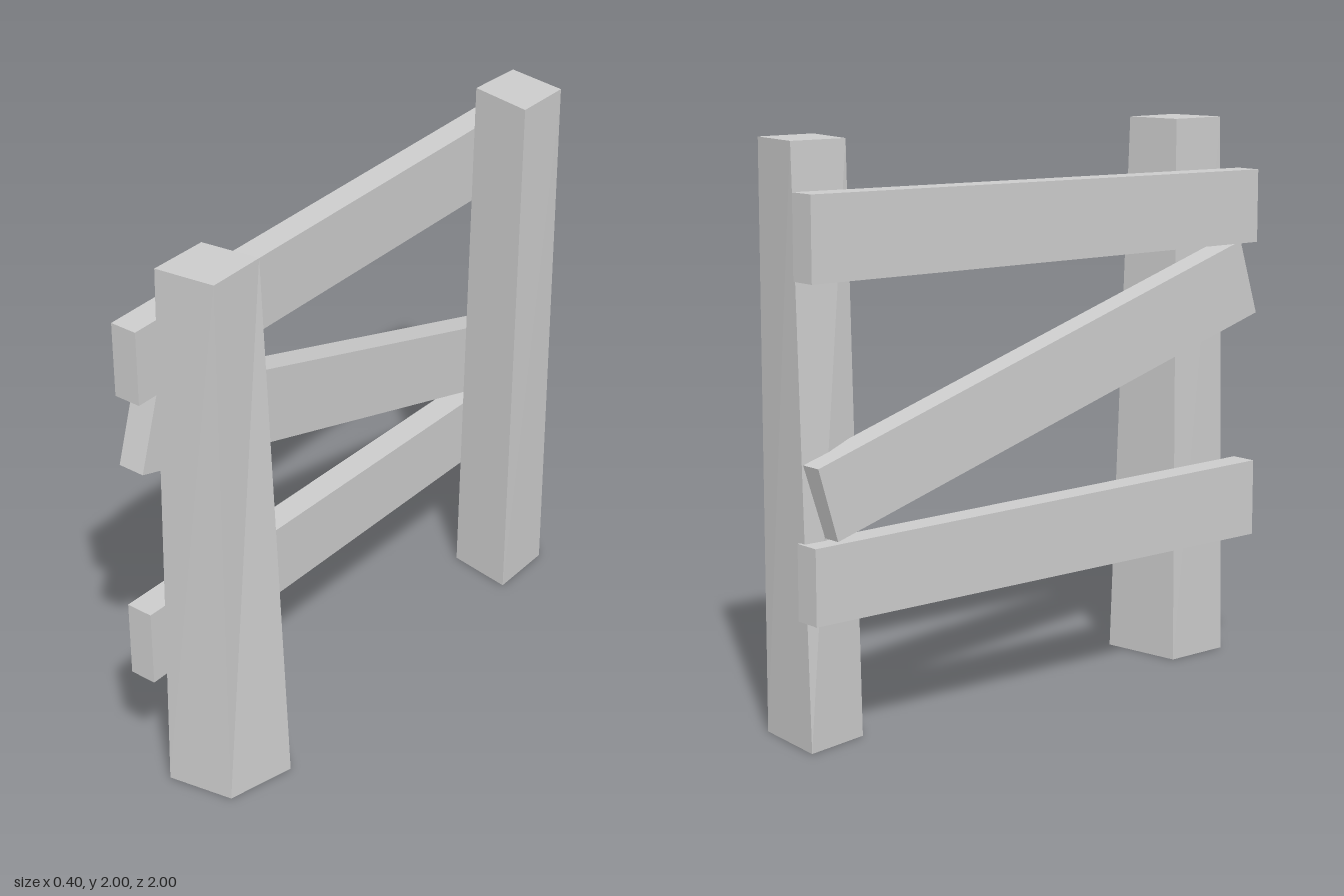
import * as THREE from 'three';

const material = new THREE.MeshStandardMaterial({ color: 0xcccccc, flatShading: true });

// Hand-hewn beam: joins two four-cornered ends, listed anticlockwise as seen from the second end.
function beam(name, start, end) {
  const positions = [];
  const quad = (a, b, c, d) => positions.push(...a, ...b, ...c, ...a, ...c, ...d);
  for (let i = 0; i < 4; i++) {
    const j = (i + 1) % 4;
    quad(start[i], start[j], end[j], end[i]);
  }
  quad(...end);
  quad(...[...start].reverse());
  const geometry = new THREE.BufferGeometry();
  geometry.setAttribute('position', new THREE.Float32BufferAttribute(positions, 3));
  geometry.computeVertexNormals();
  const mesh = new THREE.Mesh(geometry, material);
  mesh.name = name;
  return mesh;
}

// Upright post from its foot and top outlines, given as [x, z].
function post(name, foot, top) {
  const at = (outline, y) => outline.map(([x, z]) => [x, y, z]);
  return beam(name, at(foot, 0), at(top, 2));
}

// Rail along z; each end is [z low, y low, z high, y high].
function rail(name, back, front) {
  const section = ([z0, y0, z1, y1]) => [
    [-0.2, y0, z0], [-0.1, y0, z0], [-0.1, y1, z1], [-0.2, y1, z1],
  ];
  return beam(name, section(back), section(front));
}

export function createModel() {
  const group = new THREE.Group();
  group.name = 'fenceSection';

  // Tapered, slightly skewed posts
  group.add(
    post('frontPost',
      [[-0.1, 0.945], [0.14, 0.9], [0.2, 0.65], [-0.105, 0.69]],
      [[-0.09, 0.91], [0.125, 0.88], [0.12, 0.66], [-0.09, 0.69]]),
    post('backPost',
      [[-0.1, -0.745], [0.15, -0.705], [0.145, -0.96], [-0.15, -0.99]],
      [[-0.09, -0.78], [0.15, -0.735], [0.15, -0.955], [-0.08, -0.99]]),
  );

  // Two near-level rails and the diagonal brace
  group.add(
    rail('topRail', [-1, 1.555, -1, 1.84], [1, 1.545, 1, 1.81]),
    rail('bottomRail', [-1, 0.44, -1, 0.7], [1, 0.45, 1, 0.73]),
    rail('diagonalBrace', [-0.91, 0.71, -0.985, 0.96], [1, 1.285, 0.915, 1.555]),
  );
  return group;
}
